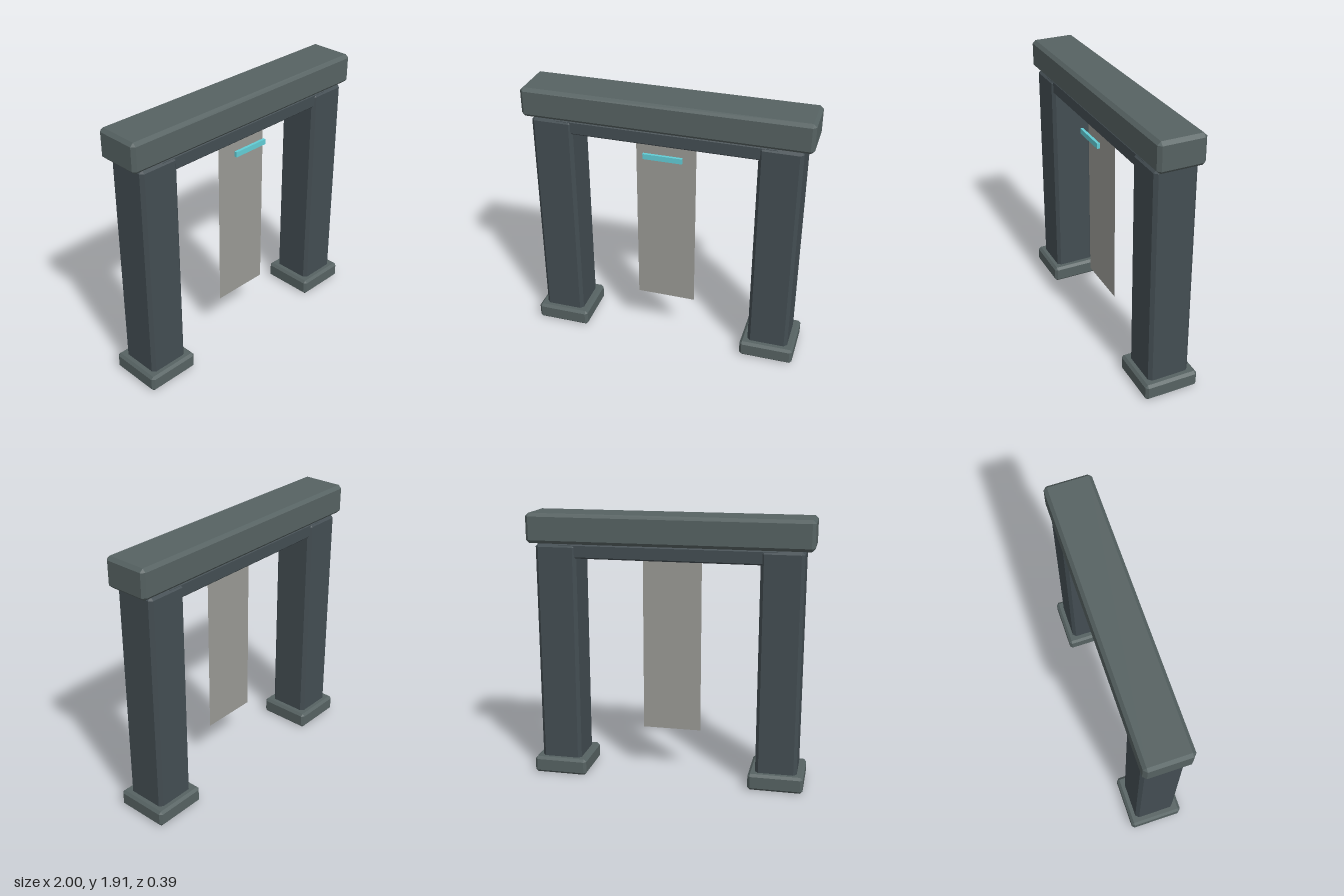
import * as THREE from 'three';
import { ConvexGeometry } from 'three/addons/geometries/ConvexGeometry.js';

const paint = (color) => new THREE.MeshStandardMaterial({ color });

// Box with every edge cut at 45 degrees
function chamferBox(w, h, d, c) {
  const points = [];
  for (const sx of [-1, 1]) for (const sy of [-1, 1]) for (const sz of [-1, 1]) {
    const x = w / 2, y = h / 2, z = d / 2;
    points.push(
      new THREE.Vector3(sx * x, sy * (y - c), sz * (z - c)),
      new THREE.Vector3(sx * (x - c), sy * y, sz * (z - c)),
      new THREE.Vector3(sx * (x - c), sy * (y - c), sz * z)
    );
  }
  return new ConvexGeometry(points);
}

export function createModel() {
  const model = new THREE.Group();
  model.name = 'gateway';

  const stone = paint(0x566262);
  const darkStone = paint(0x434d52);
  const glow = paint(0x62cdd6);
  const cloth = paint(0x999994);
  cloth.side = THREE.DoubleSide;

  const add = (name, geometry, material, x, y, z) => {
    const mesh = new THREE.Mesh(geometry, material);
    mesh.name = name;
    mesh.position.set(x, y, z);
    model.add(mesh);
  };

  // Posts standing on plinths
  for (const [side, s] of [['left', 1], ['right', -1]]) {
    add(side + 'Plinth', chamferBox(0.39, 0.12, 0.39, 0.018), stone, s * 0.789, 0.06, 0);
    add(side + 'Post', chamferBox(0.294, 1.61, 0.3, 0.023), darkStone, s * 0.789, 0.895, 0);
  }

  // Lintel and the narrower beam below it
  add('lintel', chamferBox(2, 0.21, 0.33, 0.023), stone, 0, 1.805, 0);
  add('underBeam', chamferBox(1.55, 0.1, 0.28, 0.01), darkStone, 0, 1.65, 0);

  // Hanging panel with a light strip in front
  add('hangingPanel', new THREE.PlaneGeometry(0.424, 1.28), cloth, 0, 0.965, 0.06);
  add('lightStrip', new THREE.BoxGeometry(0.275, 0.038, 0.02), glow, 0, 1.52, 0.146);

  return model;
}
